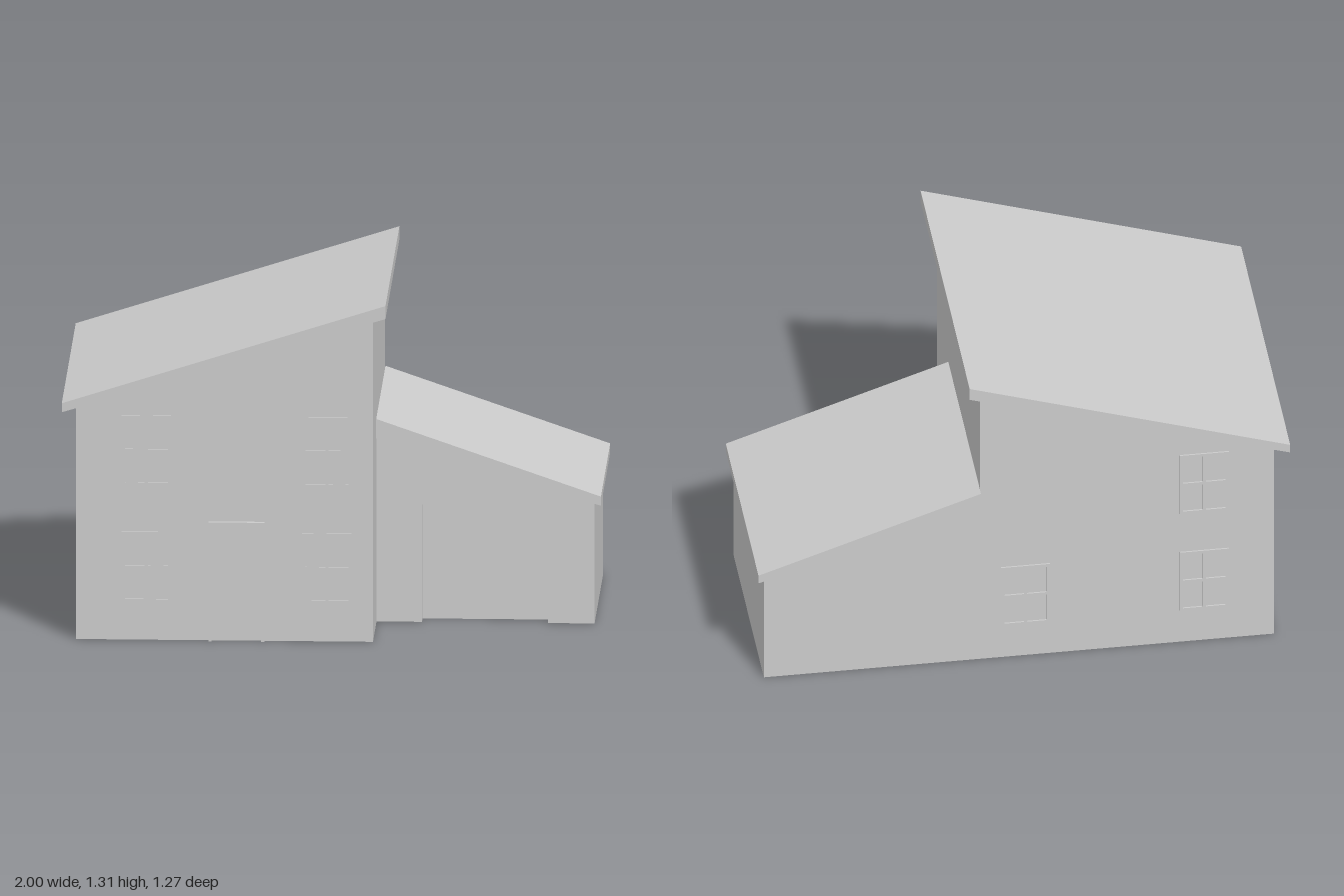
import * as THREE from 'three';

const mat = new THREE.MeshStandardMaterial({ color: 0xcccccc, side: THREE.DoubleSide, flatShading: true });

// main dimensions
const L = -0.95, R = 0.16, G = 0.975;          // house left, house right, garage right
const F = 0.555, B = -0.555, GF = 0.23;        // house front, back, garage front
const houseTop = (x) => 0.89 + (x + 1) * (0.37 / 1.21);
const garageTop = (x) => 0.71 - (x - R) * (0.25 / 0.84);

const shapeOf = (pts) => new THREE.Shape(pts.map(([a, b]) => new THREE.Vector2(a, b)));
const rect = (x0, y0, x1, y1) => [[x0, y0], [x1, y0], [x1, y1], [x0, y1]];

export function createModel() {
  const model = new THREE.Group();
  model.name = 'house';

  const add = (name, geometry, parent = model) => {
    const mesh = new THREE.Mesh(geometry, mat);
    mesh.name = name;
    parent.add(mesh);
    return mesh;
  };
  // thin wall in the xy plane at depth z
  const wallZ = (name, z, pts) => add(name, new THREE.ShapeGeometry(shapeOf(pts)).translate(0, 0, z));
  // thin wall at constant x, points given as [z, y]
  const wallX = (name, x, pts) =>
    add(name, new THREE.ShapeGeometry(shapeOf(pts)).rotateY(-Math.PI / 2).translate(x, 0, 0));
  // solid with an xy outline between two depths
  const prism = (name, shape, z0, z1, parent) =>
    add(name, new THREE.ExtrudeGeometry(shape, { depth: z1 - z0, bevelEnabled: false }).translate(0, 0, z0), parent);

  // house walls: an open-bottomed shell shared with the garage
  wallZ('frontWall', F, [[L, 0], [R, 0], [R, houseTop(R)], [L, houseTop(L)]]);
  wallZ('backWall', B, [[L, 0], [G, 0], [G, garageTop(G)], [R, garageTop(R)], [R, houseTop(R)], [L, houseTop(L)]]);
  wallX('rightWall', L, rect(B, 0, F, houseTop(L)));
  wallX('leftWall', R, [[GF, 0], [F, 0], [F, houseTop(R)], [B, houseTop(R)], [B, garageTop(R)], [GF, garageTop(R)]]);

  // garage walls, with a notch for the door
  const d0 = 0.33, d1 = 0.8, dh = 0.45, dz = GF - 0.055;
  wallZ('garageFrontWall', GF, [[R, 0], [d0, 0], [d0, dh], [d1, dh], [d1, 0], [G, 0], [G, garageTop(G)], [R, garageTop(R)]]);
  wallX('garageSideWall', G, rect(B, 0, GF, garageTop(G)));

  // recessed garage door
  for (const x of [d0, d1]) wallX('garageDoorJamb', x, rect(dz, 0, GF, dh));
  add('garageDoorLintel', new THREE.PlaneGeometry(d1 - d0, GF - dz).rotateX(Math.PI / 2)
    .translate((d0 + d1) / 2, dh, (GF + dz) / 2));
  wallZ('garageDoor', dz, rect(d0, 0, d1, dh));

  // roofs
  prism('houseRoof', shapeOf([[-1, 0.89], [0.21, 1.26], [0.21, 1.31], [-1, 0.925]]), -0.636, 0.636);
  prism('garageRoof', shapeOf([[R, 0.71], [1, 0.46], [1, 0.495], [R, 0.785]]), -0.587, 0.26);

  // front door frame around a flush door
  const a = -0.455, b = -0.245, t = 0.012, h = 0.457;
  prism('doorFrame', shapeOf([[a, 0], [a + t, 0], [a + t, h - t], [b - t, h - t], [b - t, 0], [b, 0], [b, h], [a, h]]), F - 0.012, 0.572);

  // four-pane window frames
  const w = 0.185, wh = 0.27, bar = 0.012;
  const frame = shapeOf(rect(-w / 2, 0, w / 2, wh));
  const pw = (w - 3 * bar) / 2, ph = (wh - 3 * bar) / 2;
  for (const i of [0, 1]) for (const j of [0, 1]) {
    const x = -w / 2 + bar + i * (pw + bar), y = bar + j * (ph + bar);
    frame.holes.push(new THREE.Path(shapeOf(rect(x, y, x + pw, y + ph)).getPoints()));
  }
  const windowAt = (name, x, y, z) => prism(name, frame, -0.006, 0.006).position.set(x, y, z);
  const columns = [-0.687, -0.012], rows = [0.145, 0.592];
  for (const x of columns) for (const y of rows) {
    windowAt('frontWindow', x, y, F);
    if (x === columns[0] || y === rows[0]) windowAt('backWindow', x, y, B);
  }
  return model;
}
